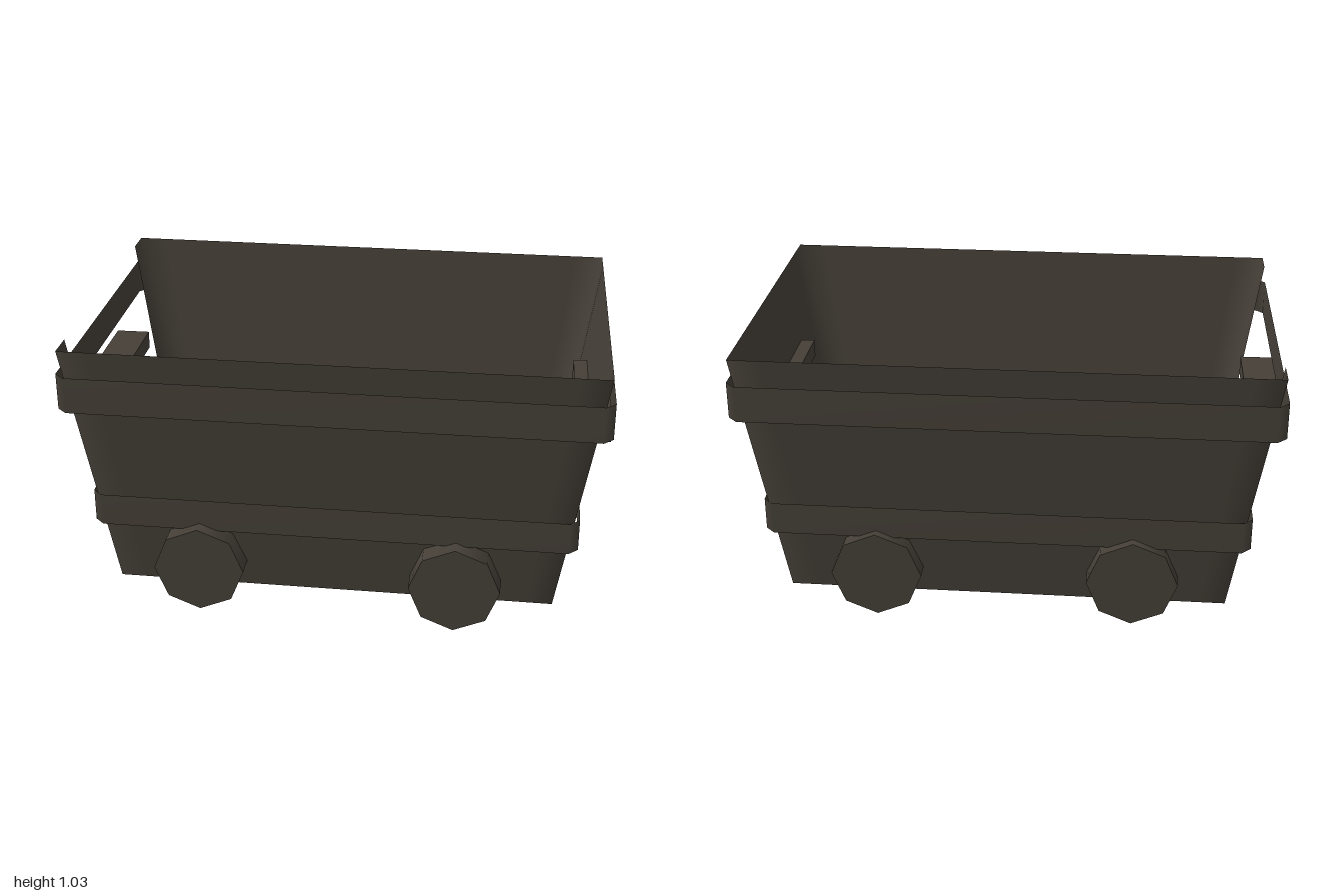
import * as THREE from 'three';

const SKEW = 0.0135; // the tub is slightly out of square
const skew = new THREE.Matrix4().set(1, 0, 0, 0.006, 0, 1, 0, 0, SKEW, 0, 1, 0.003, 0, 0, 0, 1);

// Upright sheet through two matching outlines of [x, z] points
function sheet(lower, y0, upper, y1, closed) {
  const n = lower.length, pos = [], index = [];
  lower.forEach(([x, z], i) => pos.push(x, y0, z, upper[i][0], y1, upper[i][1]));
  for (let i = 0; i < (closed ? n : n - 1); i++) {
    const a = 2 * i, b = 2 * ((i + 1) % n);
    index.push(a, b, b + 1, a, b + 1, a + 1);
  }
  const geo = new THREE.BufferGeometry();
  geo.setAttribute('position', new THREE.Float32BufferAttribute(pos, 3));
  geo.setIndex(index);
  geo.applyMatrix4(skew);
  geo.computeVertexNormals();
  return geo;
}

// Outline with a return of width r beside each corner, open at the -x end
const wallOutline = (a, b, r) => [
  [-a, b - r], [-a, b], [-a + r, b], [a - r, b], [a, b], [a, b - r],
  [a, r - b], [a, -b], [a - r, -b], [r - a, -b], [-a, -b], [-a, r - b]
];

// Rectangle with chamfered corners
const bandOutline = (a, b, c) => [
  [-a, c - b], [-a, b - c], [c - a, b], [a - c, b],
  [a, b - c], [a, c - b], [a - c, -b], [c - a, -b]
];

export function createModel() {
  const model = new THREE.Group();
  const brown = new THREE.MeshStandardMaterial({ color: 0x453f37, side: THREE.DoubleSide });
  brown.name = 'darkBrown';
  const add = (name, geo) => {
    const mesh = new THREE.Mesh(geo, brown);
    mesh.name = name;
    model.add(mesh);
    return mesh;
  };

  // Flared tub, open at the top and at one end
  add('tubWalls', sheet(wallOutline(0.8125, 0.53, 0.1), 0.075, wallOutline(0.967, 0.627, 0.11), 1.027, false));
  add('floor', new THREE.PlaneGeometry(1.625, 1.06).rotateX(-Math.PI / 2).translate(0, 0.075, 0).applyMatrix4(skew));

  // Thin bands round the tub
  for (const [name, a, b, y0, y1] of [
    ['lowerBand', 0.892, 0.58, 0.32, 0.442],
    ['upperBand', 0.982, 0.638, 0.795, 0.93]
  ]) {
    const outline = bandOutline(a, b, 0.035);
    add(name, sheet(outline, y0, outline, y1, true));
  }

  // Push bars that pass through the end walls
  for (const [name, x, y, z] of [['rightHandle', -0.935, 0.695, -0.025], ['leftHandle', 0.935, 0.685, 0.043]]) {
    add(name, new THREE.BoxGeometry(0.13, 0.068, 0.592)).position.set(x, y, z);
  }

  // Eight-sided wheels
  for (const [name, x, y, z] of [
    ['frontRightWheel', -0.485, 0.18, 0.57], ['frontLeftWheel', 0.46, 0.168, 0.59],
    ['backRightWheel', -0.46, 0.19, -0.562], ['backLeftWheel', 0.482, 0.18, -0.546]
  ]) {
    add(name, new THREE.CylinderGeometry(0.167, 0.167, 0.115, 8).rotateX(Math.PI / 2)).position.set(x, y, z);
  }
  return model;
}
